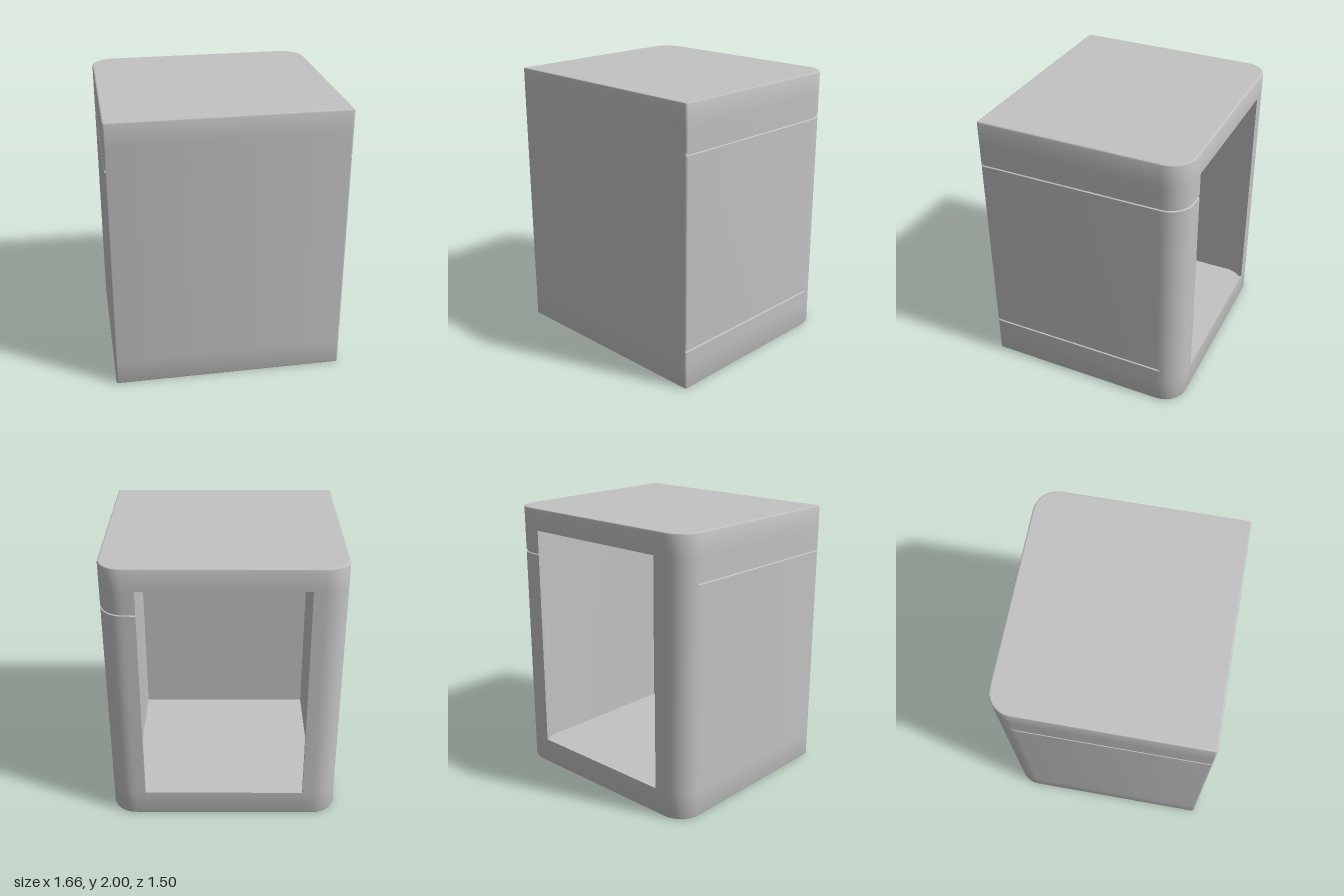
import * as THREE from 'three';
import { toCreasedNormals } from 'three/addons/utils/BufferGeometryUtils.js';

const W = 0.83, D = 0.75, H = 2;            // half width, half depth, height
const OPEN = 0.58, LOW = 0.19, HIGH = 1.84; // rear opening
const EDGE = 0.012;                         // softened edges

// Quarter arc of outline points with outward normals
function arc(cx, cz, r, from, to, steps) {
  return Array.from({ length: steps + 1 }, (_, i) => {
    const a = from + (to - from) * i / steps;
    const nx = Math.cos(a), nz = Math.sin(a);
    return { x: cx + r * nx, z: cz + r * nz, nx, nz };
  });
}

// Plan outline from one side of the rear opening, round the front, to the other
function outerOutline() {
  const R = 0.17, e = 0.014;
  const half = [
    { x: OPEN, z: -D, nx: 0, nz: -1 },
    ...arc(W - R, -D + R, R, -Math.PI / 2, 0, 8),
    ...arc(W - e, D - e, e, 0, Math.PI / 2, 4),
  ];
  return half.concat(half.map(p => ({ ...p, x: -p.x, nx: -p.nx })).reverse());
}

// Skin joining rings of equal length; hasQuad can leave gaps
function loft(rings, outward, hasQuad) {
  const n = rings[0].length, index = [];
  for (let j = 0; j < rings.length - 1; j++) {
    for (let i = 0; i < n; i++) {
      if (!hasQuad(i, j)) continue;
      const a = j * n + i, b = j * n + (i + 1) % n, c = b + n, d = a + n;
      if (outward) index.push(a, d, c, a, c, b);
      else index.push(a, b, c, a, c, d);
    }
  }
  const g = new THREE.BufferGeometry();
  g.setAttribute('position', new THREE.Float32BufferAttribute(rings.flat(2), 3));
  g.setIndex(index);
  return toCreasedNormals(g, 0.6);
}

// Flat horizontal panel cut to an outline of [x, y, z] points
function panel(ring, y, up) {
  const shape = new THREE.Shape(ring.map(p => new THREE.Vector2(p[0], up ? -p[2] : p[2])));
  const g = new THREE.ShapeGeometry(shape);
  g.rotateX(up ? -Math.PI / 2 : Math.PI / 2);
  return g.translate(0, y, 0);
}

export function createModel() {
  const group = new THREE.Group();
  const grey = new THREE.MeshStandardMaterial({ color: 0xc2c2c2 });
  grey.name = 'light grey';
  const add = (name, geometry) => {
    const mesh = new THREE.Mesh(geometry, grey);
    mesh.name = name;
    group.add(mesh);
    return mesh;
  };

  // Heights of the outer skin: [y, inset, groove]
  const levels = [[0, EDGE, '']];
  levels.push([EDGE * 0.29, EDGE * 0.29, ''], [EDGE, 0, ''], [LOW, 0, '']);
  for (const [y, kind] of [[0.28, 'lower'], [1.66, 'upper']]) {
    levels.push([y, 0, ''], [y + 0.004, 0, kind], [y + 0.016, 0, kind], [y + 0.02, 0, '']);
  }
  levels.push([HIGH, 0, ''], [H - EDGE, 0, ''], [H - EDGE * 0.29, EDGE * 0.29, ''], [H, EDGE, '']);

  // Grooves run along the sides; the upper one also turns the left rear corner
  const grooveDepth = (p, kind) => {
    if (!kind) return 0;
    const side = Math.abs(p.nx) > 0.5 && p.z > -0.59;
    const rearLeft = p.x > 0 && p.z < -0.5;
    if (kind === 'lower') return side && p.x > 0 ? 0.01 : 0;
    return side || rearLeft ? 0.01 : 0;
  };

  const outline = outerOutline();
  const rings = levels.map(([y, inset, kind]) => outline.map(p => {
    const d = inset + grooveDepth(p, kind);
    return [p.x - p.nx * d, y, p.z - p.nz * d];
  }));
  // The closing quad spans the back, so it is left out across the opening
  add('outerShell', loft(rings, true, (i, j) =>
    i < outline.length - 1 || levels[j + 1][0] <= LOW || levels[j][0] >= HIGH));
  add('topPanel', panel(rings[rings.length - 1], H, true));
  add('basePanel', panel(rings[0], 0, false));

  // Hollow interior, slightly wider than the opening
  const halfCavity = [
    [OPEN, -D], [OPEN, -0.725], [0.61, -0.715], [0.64, -0.68], [0.66, -0.62], [0.66, 0.54],
  ];
  const cavity = halfCavity.concat(halfCavity.map(([x, z]) => [-x, z]).reverse());
  const floorY = 0.165;
  const inner = [floorY, HIGH].map(y => cavity.map(([x, z]) => [x, y, z]));
  add('innerWalls', loft(inner, false, i => i < cavity.length - 1));
  add('innerFloor', panel(inner[0], floorY, true));
  add('innerCeiling', panel(inner[1], HIGH, false));

  // Low sill along the bottom of the opening
  const sillHeight = LOW - floorY;
  add('openingSill', new THREE.BoxGeometry(OPEN * 2, sillHeight, 0.024))
    .position.set(0, floorY + sillHeight / 2, -D + 0.0125);

  return group;
}
